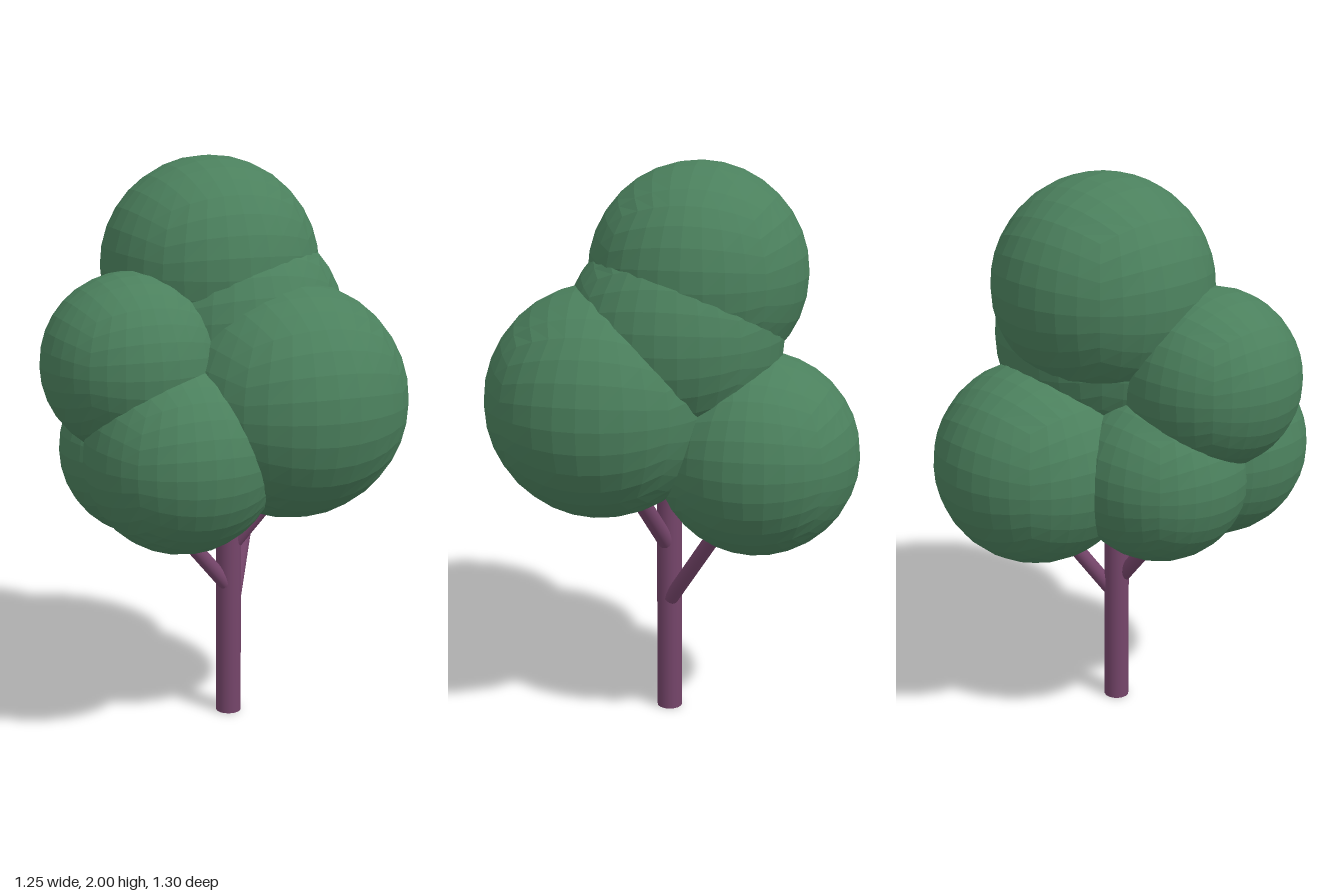
import * as THREE from 'three';

const leafMaterial = new THREE.MeshStandardMaterial({ color: 0x4b805d, flatShading: true });
const barkMaterial = new THREE.MeshStandardMaterial({ color: 0x75456a });

// Unit ball made of evenly spaced quads: a subdivided cube pushed out to a sphere
function makeBall() {
  const geometry = new THREE.BoxGeometry(2, 2, 2, 8, 8, 8);
  const position = geometry.attributes.position;
  const v = new THREE.Vector3();
  const even = (t) => Math.tan((t * Math.PI) / 4);
  for (let i = 0; i < position.count; i++) {
    v.fromBufferAttribute(position, i);
    v.set(even(v.x), even(v.y), even(v.z)).normalize();
    position.setXYZ(i, v.x, v.y, v.z);
  }
  geometry.computeVertexNormals();
  return geometry;
}

// Round limb running between two points
function makeLimb(name, from, to, radius) {
  const a = new THREE.Vector3(...from);
  const b = new THREE.Vector3(...to);
  const direction = b.clone().sub(a);
  const limb = new THREE.Mesh(
    new THREE.CylinderGeometry(radius, radius, direction.length(), 16),
    barkMaterial
  );
  limb.name = name;
  limb.position.copy(a).add(b).multiplyScalar(0.5);
  limb.quaternion.setFromUnitVectors(new THREE.Vector3(0, 1, 0), direction.normalize());
  return limb;
}

export function createModel() {
  const tree = new THREE.Group();
  tree.name = 'tree';

  // Trunk and the branches that reach into the crown
  tree.add(
    makeLimb('trunk', [0.025, 0, 0.035], [0.025, 1.2, 0.035], 0.045),
    makeLimb('rightBranch', [0.02, 0.48, 0.05], [-0.24, 0.81, 0.13], 0.027),
    makeLimb('leftBranch', [0.035, 0.63, 0.035], [0.25, 0.91, 0.07], 0.03),
    makeLimb('backBranch', [0.045, 0.43, 0.02], [0.14, 0.8, -0.24], 0.027)
  );

  // Crown: overlapping balls of leaves [name, x, y, z, radius]
  const foliage = new THREE.Group();
  foliage.name = 'foliage';
  const ball = makeBall();
  const clumps = [
    ['topClump', -0.035, 1.62, -0.05, 0.382],
    ['middleClump', 0.05, 1.42, 0, 0.382],
    ['leftClump', 0.217, 1.193, 0.198, 0.407],
    ['upperRightClump', -0.32, 1.33, 0.21, 0.312],
    ['lowerRightClump', -0.26, 1.0, 0.05, 0.312],
    ['frontClump', -0.165, 1.03, 0.32, 0.33],
    ['backClump', 0, 1.01, -0.293, 0.357],
  ];
  for (const [name, x, y, z, radius] of clumps) {
    const clump = new THREE.Mesh(ball, leafMaterial);
    clump.name = name;
    clump.position.set(x, y, z);
    clump.scale.setScalar(radius);
    clump.rotation.y = 0.28;
    foliage.add(clump);
  }
  tree.add(foliage);

  return tree;
}
